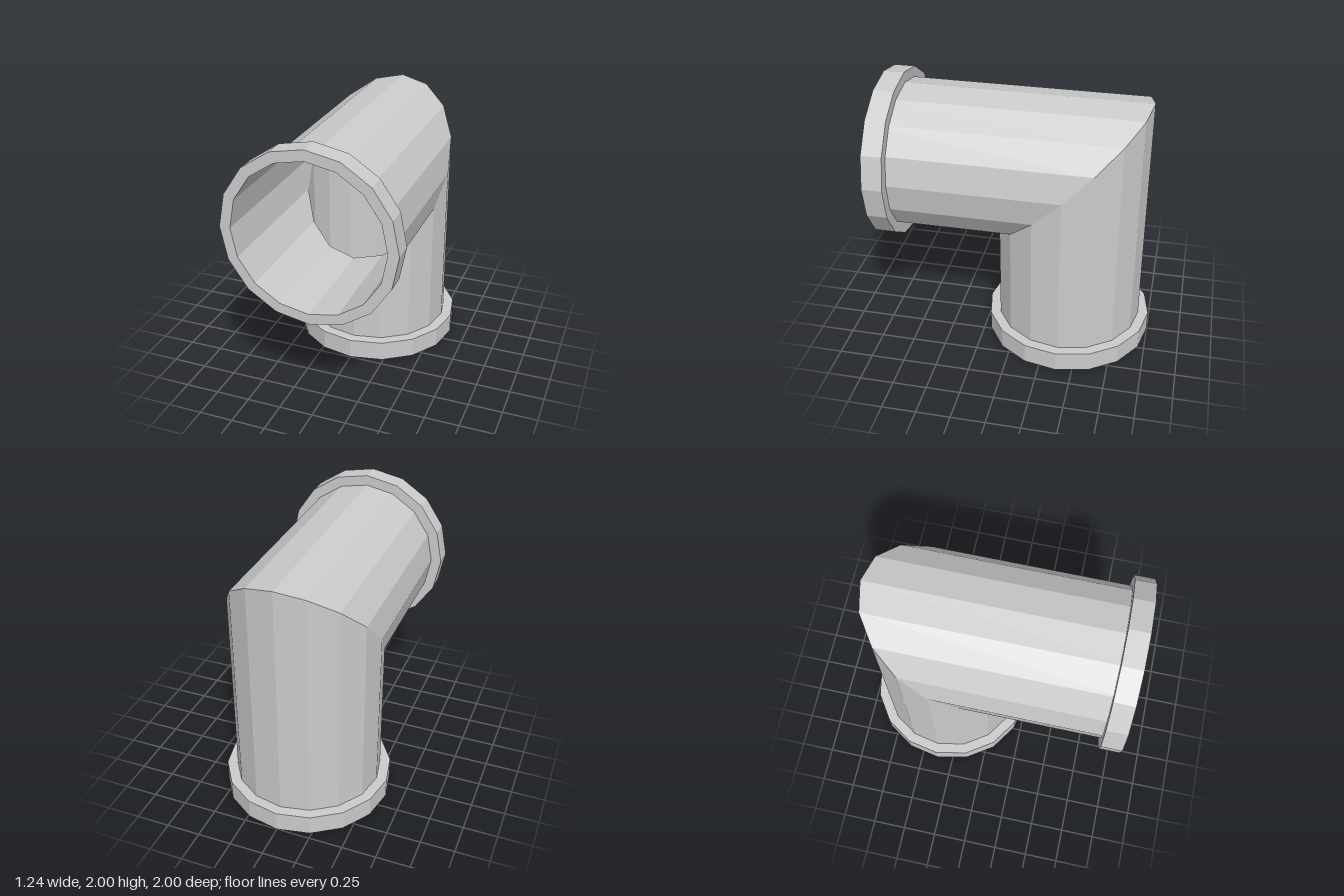
import * as THREE from 'three';

const SIDES = 16;
const PIPE_R = 0.545;
const FLANGE_R = 0.622;
const FLANGE_H = 0.15;
const AXIS_Z = -0.378; // axis of the upright pipe
const AXIS_Y = 1.378;  // axis of the forward pipe

const material = new THREE.MeshStandardMaterial({
  color: 0xcccccc, flatShading: true, side: THREE.DoubleSide,
});

// Thin pipe through three loops: base, 45 degree mitre, front opening
function elbowGeometry() {
  const loops = [[], [], []];
  for (let i = 0; i < SIDES; i++) {
    const a = (i / SIDES) * Math.PI * 2;
    const x = PIPE_R * Math.sin(a);
    const z = AXIS_Z + PIPE_R * Math.cos(a);
    const y = AXIS_Y + AXIS_Z - z; // mitre plane
    loops[0].push([x, 0, z]);
    loops[1].push([x, y, z]);
    loops[2].push([x, y, 1]);
  }
  const pos = [];
  for (let k = 0; k < 2; k++) {
    for (let i = 0; i < SIDES; i++) {
      const j = (i + 1) % SIDES;
      const a = loops[k][i], b = loops[k][j];
      const c = loops[k + 1][j], d = loops[k + 1][i];
      pos.push(...a, ...b, ...c, ...a, ...c, ...d);
    }
  }
  const geo = new THREE.BufferGeometry();
  geo.setAttribute('position', new THREE.Float32BufferAttribute(pos, 3));
  geo.computeVertexNormals();
  return geo;
}

// Square-edged collar around a pipe end; the pipe wall forms its inside
function flange(name) {
  const profile = [
    new THREE.Vector2(PIPE_R, 0),
    new THREE.Vector2(FLANGE_R, 0),
    new THREE.Vector2(FLANGE_R, FLANGE_H),
    new THREE.Vector2(PIPE_R, FLANGE_H),
  ];
  const geo = new THREE.LatheGeometry(profile, SIDES).toNonIndexed();
  geo.computeVertexNormals();
  const mesh = new THREE.Mesh(geo, material);
  mesh.name = name;
  return mesh;
}

export function createModel() {
  const group = new THREE.Group();
  group.name = 'pipeElbow';

  const pipe = new THREE.Mesh(elbowGeometry(), material);
  pipe.name = 'elbowPipe';

  const base = flange('baseFlange');
  base.position.set(0, 0, AXIS_Z);

  const front = flange('frontFlange');
  front.rotation.x = -Math.PI / 2;
  front.position.set(0, AXIS_Y, 1);

  group.add(pipe, base, front);
  return group;
}
